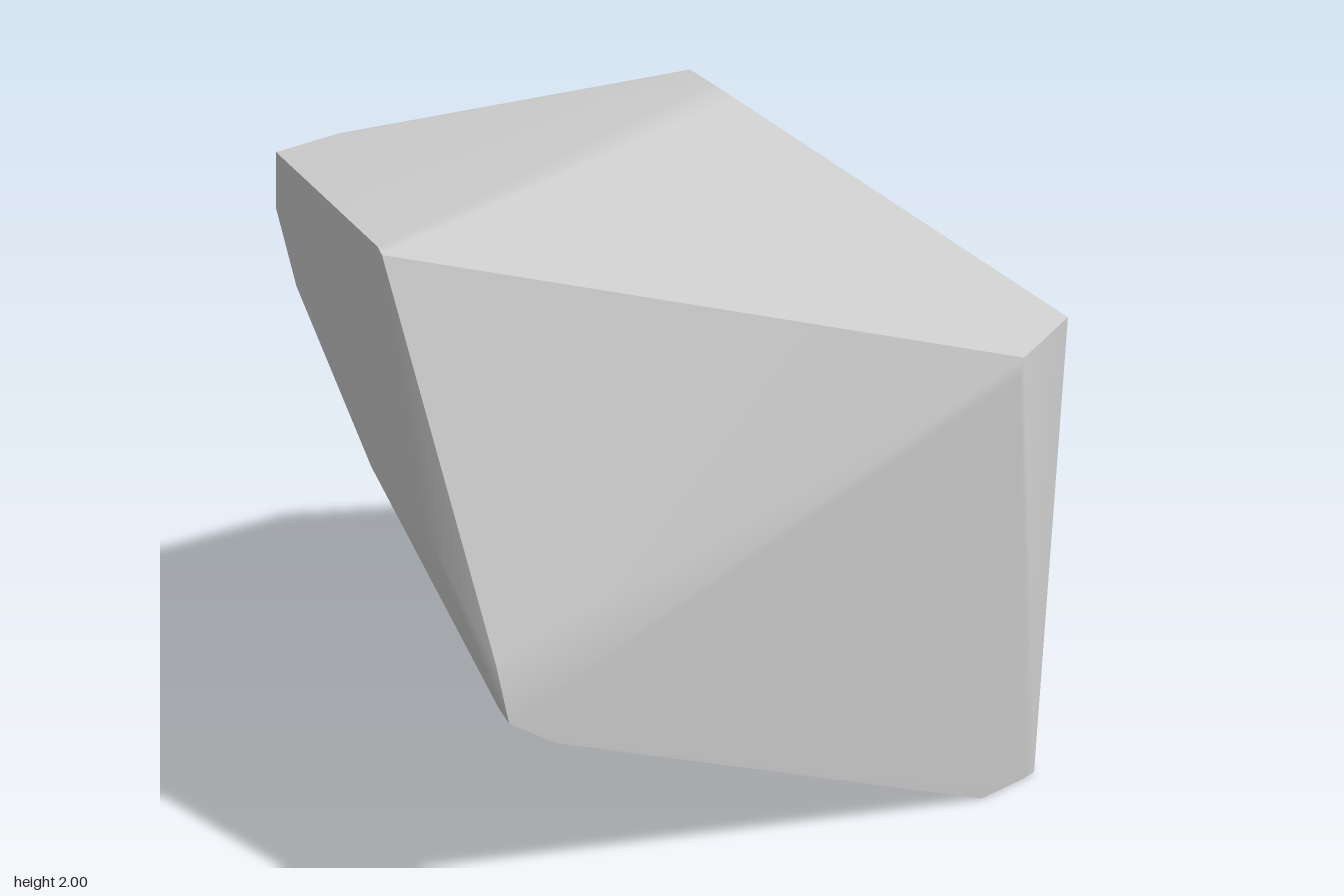
import * as THREE from 'three';
import { ConvexGeometry } from 'three/addons/geometries/ConvexGeometry.js';

// Area-weighted smooth normals that stay sharp across edges steeper than the limit
function softenNormals(geometry, limit) {
  const pos = geometry.getAttribute('position');
  const faces = [];
  const around = new Map();
  const corner = (i) => new THREE.Vector3().fromBufferAttribute(pos, i);
  const key = (i) => corner(i).toArray().map((v) => v.toFixed(4)).join();
  for (let i = 0; i < pos.count; i += 3) {
    const a = corner(i);
    const area = corner(i + 1).sub(a).cross(corner(i + 2).sub(a));
    const face = { area, dir: area.clone().normalize() };
    faces.push(face);
    for (let k = i; k < i + 3; k++) {
      if (!around.has(key(k))) around.set(key(k), []);
      around.get(key(k)).push(face);
    }
  }
  const normals = [];
  for (let i = 0; i < pos.count; i++) {
    const own = faces[Math.floor(i / 3)];
    const sum = new THREE.Vector3();
    for (const f of around.get(key(i))) {
      if (f.dir.dot(own.dir) > Math.cos(limit)) sum.add(f.area);
    }
    normals.push(...sum.normalize().toArray());
  }
  geometry.setAttribute('normal', new THREE.Float32BufferAttribute(normals, 3));
  return geometry;
}

export function createModel() {
  const group = new THREE.Group();
  group.name = 'rock';
  const stone = new THREE.MeshStandardMaterial({ color: 0xc8c8c8 });
  stone.name = 'stone grey';

  const corners = [
    // sloping top, with a narrow bevel along its front edge
    [-0.84, 2.0, 0.205], [-0.84, 1.99, 0.222], [-0.84, 2.0, -0.29], [-0.69, 2.0, -0.305],
    [0.16, 1.97, -0.16], [0.19, 1.945, -0.115], [0.16, 1.97, -0.25],
    // shoulder
    [0.63, 1.405, 0.458], [0.62, 1.36, 0.463], [0.84, 1.405, 0.37], [0.84, 1.405, -0.29],
    // left end
    [-0.84, 1.85, -0.335], [-0.65, 1.68, -0.365], [-0.84, 1.69, -0.27],
    [-0.84, 1.4, 0.05], [-0.84, 1.4, 0.3],
    [-0.77, 1.1, 0.453], [-0.76, 0.95, 0.477], [-0.76, 0.96, 0.43], [-0.65, 0.84, 0.475],
    // foot
    [0.84, 0, 0.455], [0.8, 0, 0.46], [0.65, 0, 0.46], [0.58, 0, 0.38], [0.84, 0.01, -0.3],
    [0.84, 0.03, -0.42], [0.84, 0.13, -0.465], [0.78, 0.14, -0.48], [0.65, 0.08, -0.41],
  ].map((p) => new THREE.Vector3(...p));

  // one faceted boulder with softly blended shallow edges
  const boulder = new THREE.Mesh(softenNormals(new ConvexGeometry(corners), 0.65), stone);
  boulder.name = 'boulder';
  group.add(boulder);
  return group;
}
